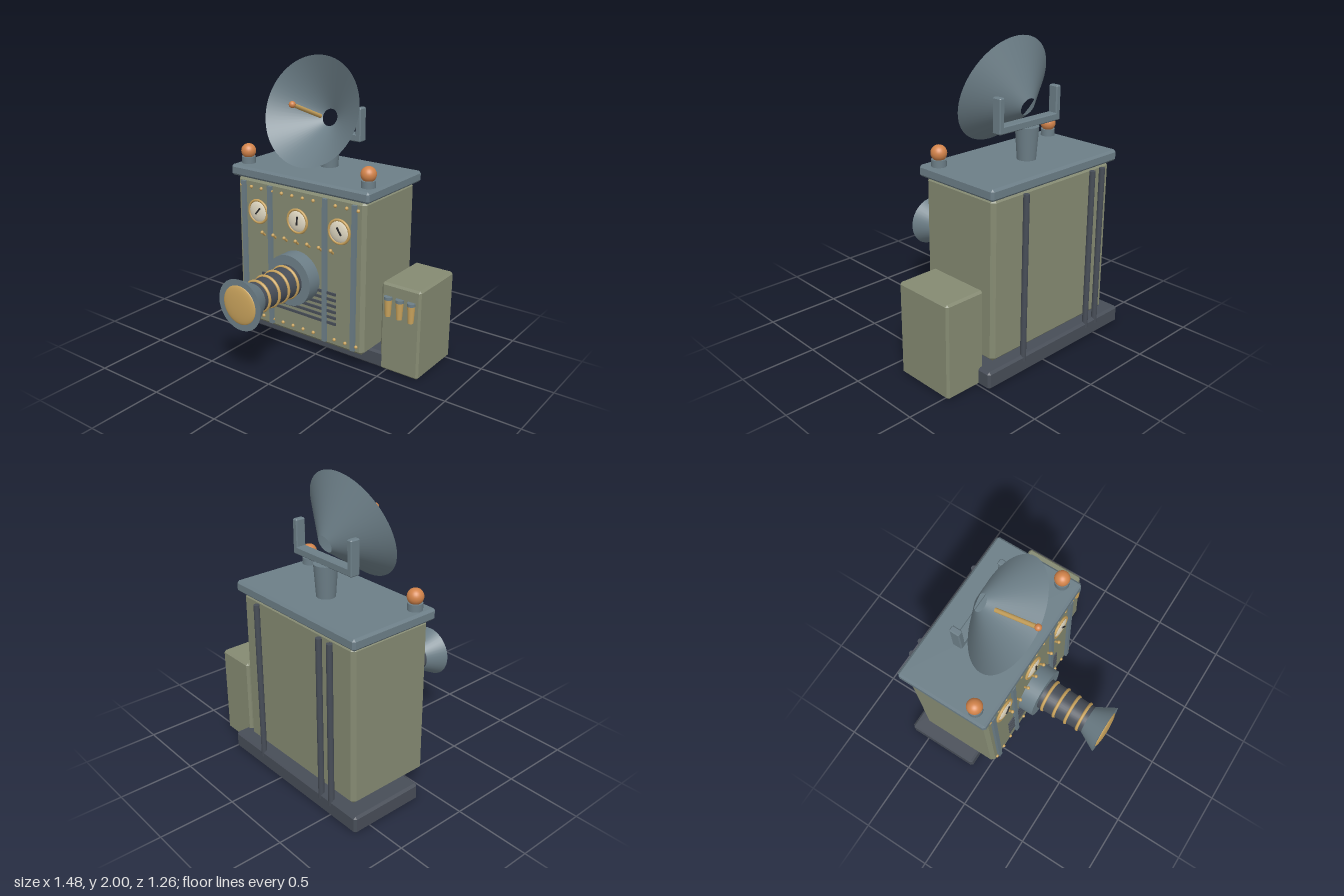
import * as THREE from 'three';
import { ConvexGeometry } from 'three/addons/geometries/ConvexGeometry.js';

const mat = (name, color, side = THREE.FrontSide) => {
  const m = new THREE.MeshStandardMaterial({ color, side });
  m.name = name;
  return m;
};

export function createModel() {
  const olive = mat('olive', 0x858a72);
  const slate = mat('slate blue', 0x6c7e87, THREE.DoubleSide);
  const dark = mat('dark steel', 0x474d57);
  const brass = mat('brass', 0xc8a25c);
  const orange = mat('orange', 0xd2834a);
  const cream = mat('cream', 0xe2dac4);
  const black = mat('needle black', 0x2a2a2c);

  const model = new THREE.Group();
  model.name = 'machine';
  const CX = -0.122; // centre line of the cabinet

  const add = (name, geo, material, x = 0, y = 0, z = 0, parent = model) => {
    const mesh = new THREE.Mesh(geo, material);
    mesh.name = name;
    mesh.position.set(x, y, z);
    parent.add(mesh);
    return mesh;
  };

  // Box with chamfered edges, given by its lower and upper corners
  const chamferBox = (name, material, lo, hi, b) => {
    const c = lo.map((v, i) => (v + hi[i]) / 2);
    const h = lo.map((v, i) => (hi[i] - v) / 2);
    const pts = [];
    for (const sx of [-1, 1]) for (const sy of [-1, 1]) for (const sz of [-1, 1])
      for (let full = 0; full < 3; full++) {
        const d = h.map((v, i) => (i === full ? v : v - b));
        pts.push(new THREE.Vector3(sx * d[0], sy * d[1], sz * d[2]));
      }
    return add(name, new ConvexGeometry(pts), material, ...c);
  };

  // Cylinder lying along z, from z0 (radius r0) to z1 (radius r1)
  const cylZ = (name, material, x, y, z0, z1, r0, r1) => {
    const geo = new THREE.CylinderGeometry(r1, r0, z1 - z0, 40).rotateX(Math.PI / 2);
    return add(name, geo, material, x, y, (z0 + z1) / 2);
  };

  // Rod between two points
  const rod = (name, material, a, b, r) => {
    const A = new THREE.Vector3(...a), B = new THREE.Vector3(...b);
    const d = B.clone().sub(A);
    const m = add(name, new THREE.CylinderGeometry(r, r, d.length(), 16), material);
    m.position.copy(A).add(B).multiplyScalar(0.5);
    m.quaternion.setFromUnitVectors(new THREE.Vector3(0, 1, 0), d.normalize());
    return m;
  };

  // Cabinet, lid, plinth and side box
  chamferBox('cabinet', olive, [-0.647, 0.12, -0.56], [0.403, 1.175, 0.03], 0.024);
  chamferBox('lid', slate, [-0.683, 1.175, -0.588], [0.439, 1.25, 0.053], 0.015);
  chamferBox('plinth', dark, [-0.74, 0, -0.627], [0.496, 0.118, -0.105], 0.015);
  chamferBox('sideBox', olive, [0.452, 0, -0.535], [0.74, 0.622, -0.105], 0.014);

  // Vertical trim strips on the front
  for (const x of [-0.579, -0.352, 0.103, 0.331])
    add('trimStrip', new THREE.BoxGeometry(0.032, 1, 0.03), slate, x, 0.65, 0.035);

  // Rivet rows
  const rivetGeo = new THREE.SphereGeometry(0.012, 12, 8);
  for (const y of [0.18, 1.115])
    for (let i = 0; i < 12; i++)
      add('rivet', rivetGeo, brass, -0.605 + i * 0.0873, y, 0.034);

  // Ventilation slots
  for (let i = 0; i < 6; i++)
    add('ventSlot', new THREE.BoxGeometry(0.625, 0.018, 0.016), dark, CX, 0.293 + i * 0.0425, 0.031);

  // Gauges: brass rim, cream domed dial, needle
  [[-0.458, -0.7], [CX, -0.08], [0.214, 0.6]].forEach(([x, tilt]) => {
    const g = new THREE.Group();
    g.name = 'gauge';
    g.position.set(x, 0.95, 0.03);
    model.add(g);
    add('gaugeRim', new THREE.TorusGeometry(0.079, 0.009, 10, 40), brass, 0, 0, 0.007, g);
    const dial = add('gaugeDial', new THREE.SphereGeometry(0.079, 32, 16), cream, 0, 0, 0, g);
    dial.scale.z = 0.3;
    const needle = add('gaugeNeedle', new THREE.BoxGeometry(0.009, 0.06, 0.008), black, 0.011, 0.009, 0.026, g);
    needle.rotation.z = tilt;
  });

  // Toggle switches
  for (let i = 0; i < 7; i++) {
    const x = CX + (i - 3) * 0.0955;
    rod('toggleLever', brass, [x, 0.79, 0.03], [x, 0.815, 0.058], 0.008);
    add('toggleKnob', new THREE.SphereGeometry(0.012, 12, 8), brass, x, 0.817, 0.06);
  }

  // Projecting lens barrel with rings and horn
  const LY = 0.563;
  cylZ('lensFlange', slate, CX, LY, 0.03, 0.136, 0.177, 0.177);
  cylZ('lensBarrel', dark, CX, LY, 0.136, 0.49, 0.111, 0.098);
  cylZ('lensHorn', slate, CX, LY, 0.485, 0.615, 0.1, 0.171);
  [0.174, 0.265, 0.355, 0.447].forEach((z, i) =>
    add('barrelRing', new THREE.TorusGeometry(0.109 - i * 0.003, 0.011, 10, 40), brass, CX, LY, z));
  add('lens', new THREE.SphereGeometry(0.13, 40, 20), brass, CX, LY, 0.614).scale.z = 0.15;

  // Vials on the side box
  for (const x of [0.51, 0.595, 0.68]) {
    add('vial', new THREE.CylinderGeometry(0.026, 0.019, 0.12, 20), brass, x, 0.46, -0.097);
    add('vialCap', new THREE.CylinderGeometry(0.028, 0.028, 0.02, 20), slate, x, 0.528, -0.097);
  }

  // Signal lamps on the lid
  for (const x of [-0.613, 0.367]) {
    add('lampBase', new THREE.CylinderGeometry(0.047, 0.047, 0.045, 28), slate, x, 1.2725, -0.055);
    add('lampBulb', new THREE.SphereGeometry(0.051, 28, 18), orange, x, 1.333, -0.055);
  }

  // Conduits on the back
  for (const x of [-0.505, -0.41, 0.188])
    add('backConduit', new THREE.CylinderGeometry(0.019, 0.019, 1.095, 16), dark, x, 0.625, -0.612);

  // Dish post and yoke
  add('dishPost', new THREE.CylinderGeometry(0.075, 0.06, 0.21, 32), slate, CX, 1.355, -0.317);
  chamferBox('yokeBar', slate, [CX - 0.268, 1.455, -0.351], [CX + 0.268, 1.505, -0.283], 0.007);
  for (const s of [-1, 1]) {
    const x = CX + s * 0.248;
    chamferBox('yokeArm', slate, [x - 0.02, 1.46, -0.351], [x + 0.02, 1.678, -0.283], 0.007);
  }

  // Open conical dish, tilted upwards, with a central hole
  const dish = add('dish', new THREE.CylinderGeometry(0.367, 0.058, 0.224, 64, 1, true), slate);
  const axis = new THREE.Vector3(0, 0.335, 0.942).normalize();
  dish.quaternion.setFromUnitVectors(new THREE.Vector3(0, 1, 0), axis);
  dish.position.set(CX, 1.655, -0.11).addScaledVector(axis, -0.112);

  // Feed rod and tip
  rod('feedRod', brass, [CX, 1.607, -0.214], [CX, 1.728, 0.078], 0.014);
  add('feedTip', new THREE.SphereGeometry(0.022, 20, 14), orange, CX, 1.728, 0.078);

  return model;
}
